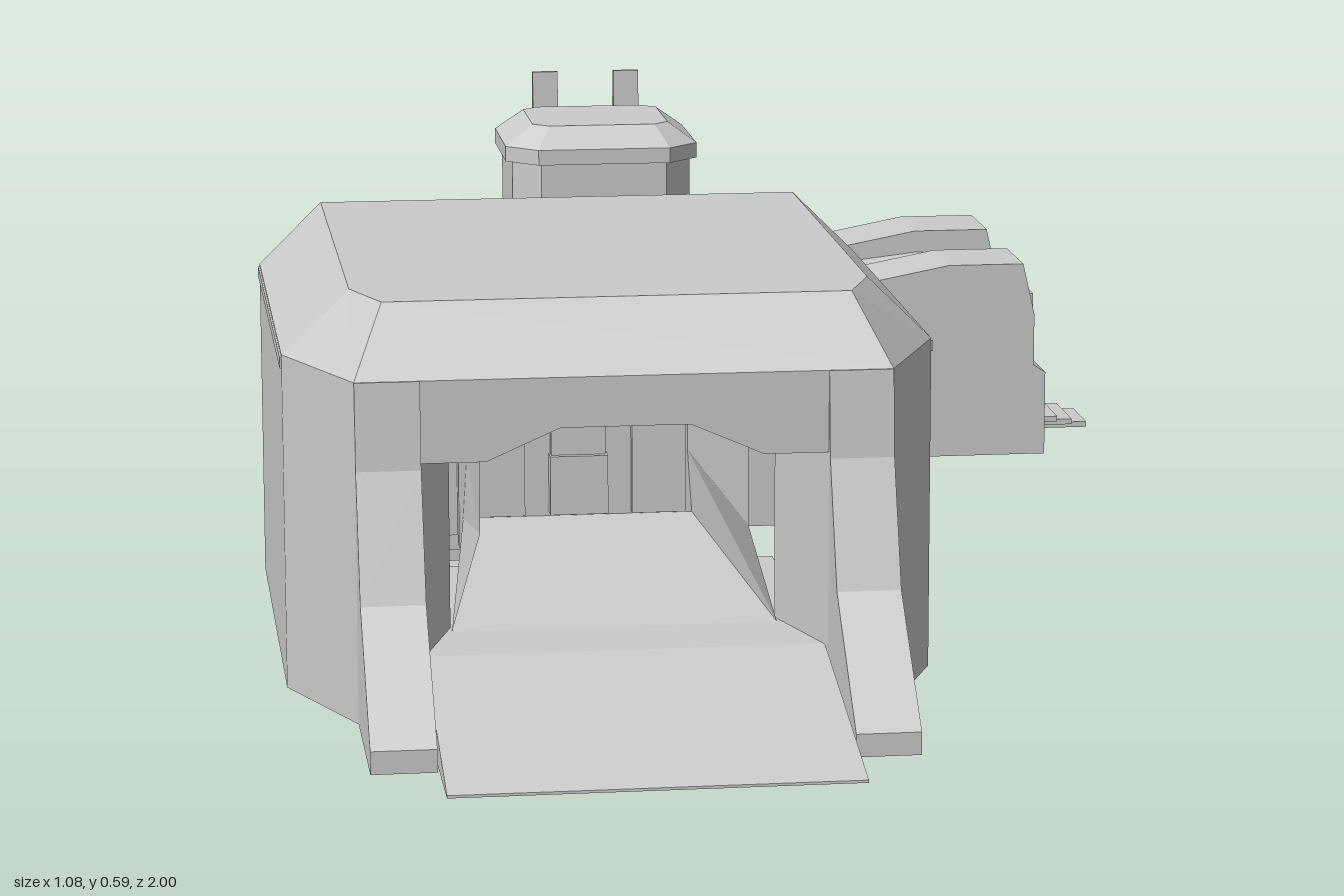
import * as THREE from 'three';

const mat = new THREE.MeshStandardMaterial({ color: 0xcccccc, flatShading: true, side: THREE.DoubleSide });

export function createModel() {
  const root = new THREE.Group();
  let target = root;
  const group = (name, x = 0) => {
    target = new THREE.Group();
    target.name = name;
    target.position.x = x;
    root.add(target);
  };
  const add = (name, geo) => {
    const m = new THREE.Mesh(geo, mat);
    m.name = name;
    target.add(m);
    return m;
  };
  const box = (name, x0, x1, y0, y1, z0, z1) =>
    add(name, new THREE.BoxGeometry(x1 - x0, y1 - y0, Math.abs(z1 - z0))
      .translate((x0 + x1) / 2, (y0 + y1) / 2, (z0 + z1) / 2));
  const shapeOf = pts => new THREE.Shape(pts.map(p => new THREE.Vector2(p[0], p[1])));
  const solid = (shape, depth) => new THREE.ExtrudeGeometry(shape, { depth, bevelEnabled: false, curveSegments: 5 });
  // (z, y) profile swept along x
  const sweepX = (name, pts, x0, x1) =>
    add(name, solid(shapeOf(pts.map(([z, y]) => [-z, y])), x1 - x0).rotateY(Math.PI / 2).translate(x0, 0, 0));
  // (x, y) profile swept along z
  const sweepZ = (name, pts, z0, z1) => add(name, solid(shapeOf(pts), z1 - z0).translate(0, 0, z0));
  // strips between successive rings of points
  const loft = (name, rings, closed = true, caps = true) => {
    const pos = [], n = rings[0].length;
    for (let r = 0; r < rings.length - 1; r++)
      for (let i = 0; i < (closed ? n : n - 1); i++) {
        const j = (i + 1) % n, [a, b] = [rings[r], rings[r + 1]];
        pos.push(...a[i], ...a[j], ...b[j], ...a[i], ...b[j], ...b[i]);
      }
    if (caps) for (let i = 1; i < n - 1; i++) {
      const a = rings[0], b = rings[rings.length - 1];
      pos.push(...a[0], ...a[i + 1], ...a[i], ...b[0], ...b[i], ...b[i + 1]);
    }
    const g = new THREE.BufferGeometry();
    g.setAttribute('position', new THREE.Float32BufferAttribute(pos, 3));
    g.computeVertexNormals();
    return add(name, g);
  };
  // chamfered rectangle in plan, counterclockwise from above
  const oct = (cx, cz, hx, hz, c, y) =>
    [[hx, hz - c], [hx, c - hz], [hx - c, -hz], [c - hx, -hz], [-hx, c - hz], [-hx, hz - c], [c - hx, hz], [hx - c, hz]]
      .map(([x, z]) => [cx + x, y, cz + z]);

  // ---- large hull, open at the rear and below ----
  group('hull', -0.18);
  const plan = (a, y) => [...a.map(([x, z]) => [x, y, z]), ...a.slice().reverse().map(([x, z]) => [-x, y, z])];
  const wallPlan = [[0.359, 0], [0.359, 0.55], [0.29, 0.71]];
  const eave = plan(wallPlan, 0.495);
  const roof = plan([[0.285, 0], [0.285, 0.56], [0.255, 0.64]], 0.568);
  loft('roofSlopes', [eave, roof], false, false);
  add('roofPanel', solid(shapeOf(roof.map(p => [p[0], -p[2]])), 0.004).rotateX(-Math.PI / 2).translate(0, 0.564, 0));
  for (const s of [1, -1]) {
    const side = y => wallPlan.map(([x, z]) => [s * x, y, z]);
    loft('hullSide', [side(0.12), side(0.495)], false, false);
    sweepX('frontCheek', [[0.66, 0.12], [0.905, 0.12], [0.905, 0.145], [0.77, 0.265], [0.72, 0.4], [0.712, 0.495], [0.66, 0.495]],
      s > 0 ? 0.22 : -0.29, s > 0 ? 0.29 : -0.22);
    loft('doorJamb', [[[s * 0.22, 0.15, 0.71], [s * 0.22, 0.405, 0.71]], [[s * 0.18, 0.15, 0.58], [s * 0.18, 0.405, 0.58]]], false, false);
    box('eaveBand', s > 0 ? 0.355 : -0.361, s > 0 ? 0.361 : -0.355, 0.48, 0.492, 0, 0.55);
  }
  sweepZ('lintel', [[-0.22, 0.495], [-0.22, 0.405], [-0.15, 0.405], [-0.07, 0.44], [0.07, 0.44], [0.15, 0.405], [0.22, 0.405], [0.22, 0.495]], 0.69, 0.71);
  sweepX('ramp', [[0.3, 0.12], [1, 0.12], [1, 0.123], [0.905, 0.145], [0.7, 0.19], [0.3, 0.19]], -0.218, 0.218);

  // tapering corridor behind the doorway
  const arch = (w, y0, x, yTop, z) =>
    [[w, y0], [x, 0.3], [x, 0.405], [0.07, yTop], [-0.07, yTop], [-x, 0.405], [-x, 0.3], [-w, y0]].map(([px, y]) => [px, y, z]);
  loft('corridor', [arch(0.18, 0.19, 0.148, 0.44, 0.6), arch(0.135, 0.225, 0.13, 0.406, 0.21)], true, false);
  box('corridorEnd', -0.14, 0.14, 0.19, 0.41, 0.19, 0.21);
  for (const x of [-0.095, 0, 0.095]) box('endPanel', x - 0.032, x + 0.032, 0.228, 0.404, 0.21, 0.222);
  box('endDoor', -0.034, 0.034, 0.23, 0.3, 0.21, 0.23);

  // machinery block in the rear opening
  box('rearBlock', -0.335, 0.335, 0.2, 0.39, 0.005, 0.19);
  box('rearCoupling', -0.2, 0.2, 0.195, 0.295, -0.012, 0.01);
  for (const x of [-0.21, 0, 0.21])
    add('rearDisc', new THREE.CylinderGeometry(0.065, 0.065, 0.004, 20).translate(x, 0.391, 0.1));

  // ---- central hub and arms ----
  group('hub');
  const cz = -0.355;
  loft('hubBody', [oct(0.063, cz, 0.085, 0.11, 0.04, 0.2), oct(0.063, cz, 0.093, 0.118, 0.04, 0.225),
    oct(0.063, cz, 0.093, 0.118, 0.04, 0.315), oct(0.063, cz, 0.087, 0.112, 0.04, 0.325)]);
  box('frontArm', -0.25, 0.13, 0.225, 0.313, -0.17, -0.02);
  box('frontArmBase', -0.09, 0.13, 0.225, 0.29, -0.16, 0);
  box('backArm', -0.18, 0.13, 0.225, 0.313, -0.69, -0.545);
  box('backArmBase', 0, 0.13, 0.225, 0.3, -0.56, -0.5);
  for (const s of [1, -1]) {
    add('ballJoint', new THREE.SphereGeometry(0.034, 12, 8).translate(0.063, 0.27, cz + s * 0.15));
    add('jointCollar', new THREE.CylinderGeometry(0.045, 0.045, 0.02, 16).rotateX(Math.PI / 2).translate(0.063, 0.27, cz + s * 0.122));
    box('strutPin', -0.1, -0.045, 0.23, 0.3, cz + s * 0.11, cz + s * 0.19);
    const near = cz + s * 0.1, far = cz + s * 0.185;
    loft('diagonalStrut', [[[-0.2, 0.23, near], [-0.1, 0.23, near], [-0.1, 0.3, near], [-0.2, 0.3, near]],
      [[-0.15, 0.23, far], [-0.1, 0.23, far], [-0.1, 0.3, far], [-0.15, 0.3, far]]]);
  }
  box('core', -0.22, 0, 0.2, 0.305, -0.47, -0.24);
  box('studPlate', -0.365, -0.05, 0.3, 0.365, -0.46, -0.25);
  box('studPlateStep', -0.05, -0.025, 0.29, 0.345, -0.435, -0.275);
  for (const x of [-0.305, -0.235, -0.135, -0.04])
    for (const z of [-0.395, -0.315])
      box('stud', x - 0.008, x + 0.008, 0.34, x > -0.05 ? 0.35 : 0.37, z - 0.011, z + 0.011);

  // ---- landing frames, mirrored front to back ----
  group('landingGear');
  const roundRect = (S, x0, x1, y0, y1, r) => {
    const s = new S();
    s.moveTo(x0 + r, y0).lineTo(x1 - r, y0).quadraticCurveTo(x1, y0, x1, y0 + r);
    s.lineTo(x1, y1 - r).quadraticCurveTo(x1, y1, x1 - r, y1);
    s.lineTo(x0 + r, y1).quadraticCurveTo(x0, y1, x0, y1 - r);
    s.lineTo(x0, y0 + r).quadraticCurveTo(x0, y0, x0 + r, y0);
    return s;
  };
  const frame = roundRect(THREE.Shape, -0.47, -0.04, 0.012, 0.31, 0.065);
  frame.holes.push(roundRect(THREE.Path, -0.418, -0.09, 0.083, 0.258, 0.012));
  for (const s of [1, -1]) {
    const Z = d => cz + s * d;
    const bar = (name, x0, x1, y0, y1, d0, d1) => box(name, x0, x1, y0, y1, Z(d0), Z(d1));
    add('legFrame', solid(frame, 0.05).translate(0, 0, Z(0.22) - 0.025));
    for (const x of [-0.383, -0.31, -0.238]) bar('framePad', x - 0.032, x + 0.032, 0.04, 0.07, 0.24, 0.25);
    bar('foot', -0.147, -0.092, 0.014, 0.085, 0.18, 0.285);
    bar('frameClasp', -0.472, -0.36, 0.26, 0.313, 0.192, 0.247);
    bar('clampBlock', -0.42, -0.37, 0.24, 0.3, 0.115, 0.17);
    bar('hanger', -0.32, -0.27, 0.06, 0.26, 0.1, 0.15);
    bar('hanger', -0.16, -0.1, 0.08, 0.26, 0.1, 0.15);
    bar('tieBar', -0.36, -0.1, 0.1, 0.125, 0.15, 0.21);
    for (const d of [0.255, 0.278]) bar('rod', -0.15, -0.035, 0.055, 0.06, d, d + 0.004);
  }
  box('upperRail', -0.36, -0.29, 0.25, 0.31, -0.6, -0.11);
  box('lowerRail', -0.3, -0.15, 0.09, 0.165, -0.47, -0.24);
  box('keel', -0.27, -0.1, 0.018, 0.08, -0.54, -0.17);
  box('keelPost', -0.26, -0.18, 0.04, 0.21, -0.39, -0.32);

  // ---- side pod, open below ----
  group('sidePod');
  for (let i = 0; i < 4; i++) {
    const h = i % 2 ? 0.03 : 0.036;
    box('neckRib', 0.15 + i * 0.02, 0.17 + i * 0.02, 0.264 - h, 0.264 + h, cz - h - 0.014, cz + h + 0.014);
  }
  const podSide = [[0.225, 0.195], [0.225, 0.42], [0.33, 0.44], [0.425, 0.44], [0.44, 0.375], [0.44, 0.31], [0.455, 0.3], [0.455, 0.195]];
  const podCentre = [[0.225, 0.195], [0.225, 0.4], [0.33, 0.412], [0.4, 0.412], [0.425, 0.36], [0.425, 0.195]];
  const shell = (name, pts, z0, z1) => loft(name, [z0, z1].map(z => pts.map(([x, y]) => [x, y, z])), false);
  for (const s of [1, -1]) {
    const c = cz + s * 0.125;
    shell('podShell', podSide, c - 0.055, c + 0.055);
    box('podSlot', 0.36, 0.445, 0.33, 0.395, c - 0.02, c + 0.02);
    box('podJamb', 0.42, 0.45, 0.2, 0.3, cz + s * 0.055 - 0.015, cz + s * 0.055 + 0.015);
  }
  shell('podCentre', podCentre, cz - 0.072, cz + 0.072);
  box('podLintel', 0.4, 0.45, 0.3, 0.33, cz - 0.07, cz + 0.07);
  for (let i = 0; i < 4; i++)
    box('toeStep', 0.4, 0.475 + i * 0.021, 0.215 - i * 0.006, 0.222 - i * 0.006, cz - 0.068 + i * 0.009, cz + 0.068 - i * 0.009);

  // ---- rear tower ----
  group('tower', -0.062);
  const tz = -0.675;
  add('towerNeck', new THREE.CylinderGeometry(0.04, 0.04, 0.06, 14).translate(0, 0.33, -0.625));
  loft('towerBody', [oct(0, tz, 0.118, 0.11, 0.035, 0.355), oct(0, tz, 0.118, 0.11, 0.035, 0.525)]);
  loft('towerCap', [oct(0, tz, 0.127, 0.118, 0.04, 0.515), oct(0, tz, 0.127, 0.118, 0.04, 0.535), oct(0, tz, 0.09, 0.085, 0.02, 0.562)]);
  const chute = [[-1, 0.343], [-1, 0.38], [-0.895, 0.44], [-0.78, 0.44], [-0.78, 0.365], [-0.83, 0.365]];
  loft('towerChute', [0.07, -0.07].map(x => chute.map(([z, y]) => [x, y, z])), false);
  for (const x of [-0.055, 0.055])
    sweepX('fin', [[-0.783, 0.38], [-0.825, 0.4], [-0.812, 0.52], [-0.797, 0.605], [-0.79, 0.605]], x - 0.017, x + 0.017);

  return root;
}
